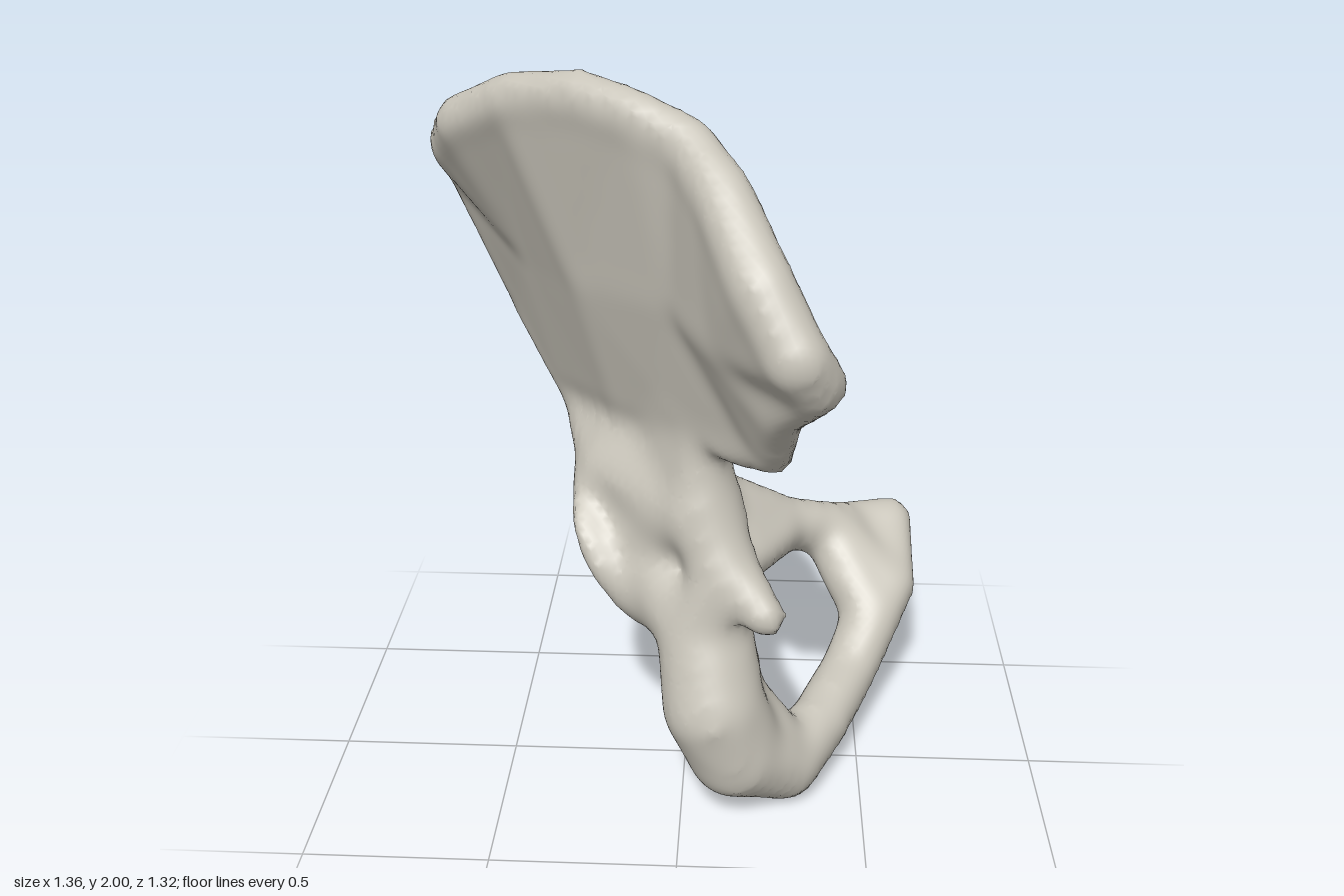
import * as THREE from 'three';

// Landmarks of the bone: [x, y, z, half thickness]
const CREST = {
  a0: [-0.53, 1.34, -0.59, 0.055], c0: [-0.525, 1.43, -0.59, 0.07], c1: [-0.61, 1.63, -0.42, 0.065],
  c2: [-0.63, 1.73, -0.28, 0.06], c3: [-0.575, 1.82, -0.15, 0.065], c4: [-0.42, 1.91, -0.02, 0.06],
  c5: [-0.24, 1.945, 0.11, 0.057], c6: [-0.10, 1.92, 0.20, 0.055], c7: [0.02, 1.87, 0.26, 0.06],
  c8: [0.10, 1.78, 0.365, 0.07], c9: [0.19, 1.62, 0.52, 0.077], c10: [0.27, 1.48, 0.59, 0.075],
  c11: [0.31, 1.41, 0.55, 0.072], c12: [0.24, 1.30, 0.46, 0.057], c13: [0.225, 1.135, 0.33, 0.052],
};
const BLADE = {
  a1: [-0.45, 1.20, -0.46, 0.055], a2: [-0.31, 0.98, -0.36, 0.058],
  m1: [-0.43, 1.45, -0.25, 0.035], m2: [-0.26, 1.45, -0.01, 0.037], m3: [0.02, 1.47, 0.18, 0.07],
  m4: [-0.01, 1.21, 0.05, 0.085], q: [0.14, 1.43, 0.36, 0.078], n: [0.06, 1.10, 0.14, 0.06],
  b0: [-0.10, 1.02, -0.12, 0.10], col: [0.05, 0.87, 0.13, 0.10],
  roof: [-0.20, 0.88, -0.10, 0.10], e: [-0.08, 0.85, -0.24, 0.09],
};
const LOWER = {
  body: [-0.07, 0.69, -0.07, 0.20], i0: [0.11, 0.73, 0.20, 0.095], spine: [0.22, 0.65, 0.295, 0.052],
  w: [0.13, 0.56, -0.10, 0.06], h: [0.13, 0.47, 0.04, 0.06], j: [0.165, 0.33, 0.145, 0.06],
  i1: [0.06, 0.55, 0.18, 0.13], i2: [0.09, 0.35, 0.26, 0.138], i3: [0.15, 0.20, 0.24, 0.135],
  r0: [0.28, 0.105, 0.17, 0.105], r1: [0.38, 0.135, 0.04, 0.083], r2: [0.48, 0.19, -0.17, 0.08],
  r3: [0.55, 0.30, -0.30, 0.085], p0: [0.60, 0.36, -0.38, 0.08], p1: [0.61, 0.47, -0.59, 0.07],
  p3: [0.51, 0.46, -0.575, 0.072], p4: [0.41, 0.50, -0.475, 0.08], s1: [0.28, 0.55, -0.405, 0.08],
  s2: [0.08, 0.67, -0.30, 0.095],
};
const N = { ...CREST, ...BLADE, ...LOWER };

// Thick plates spanning three landmarks, and tapered bars spanning two
const PLATES = 'a0 c0 a1,c0 c1 a1,a1 c1 m1,c1 c2 m1,c2 c3 m1,c3 c4 m1,c4 m2 m1,c4 c5 m2,c5 c6 m2,c6 m3 m2,'
  + 'c6 c7 m3,c7 c8 m3,c8 q m3,c8 c9 q,c9 c10 q,c10 c11 q,c11 c12 q,c12 c13 q,c13 m3 q,c13 m4 m3,c13 n m4,'
  + 'a1 m1 a2,m1 m2 b0,m1 b0 a2,m2 m3 m4,m2 m4 b0,n b0 m4,n col b0,a2 e b0,a2 roof b0,col roof b0,e roof b0';
const LOWER_PARTS = 'w h body,h i1 body,h i1 i2,h i2 j,j i2 i3,j i3 r0,w h col,w col e,w e s2,w s2 s1,'
  + 'r3 p0 p4,p4 p0 p3,p3 p0 p1,e col body,body col,body e,body s2,body i1,col i0,i0 spine,i0 i1,'
  + 'i1 i2,i2 i3,i3 r0,r0 r1,r1 r2,r2 r3,r3 p0,p4 s1,s1 s2,s2 e';

const FAR = 0.12;
const tmp = new THREE.Vector3(), bary = new THREE.Vector3();

function makePart(text) {
  const keys = text.split(' ');
  const pts = keys.map((k) => new THREE.Vector3(...N[k].slice(0, 3)));
  const r = keys.map((k) => N[k][3]);
  const center = pts.reduce((s, p) => s.add(p), new THREE.Vector3()).divideScalar(pts.length);
  const reach = Math.max(...pts.map((p) => p.distanceTo(center))) + Math.max(...r) + FAR;
  let distance;
  if (pts.length === 3) {
    const tri = new THREE.Triangle(...pts);
    distance = (p) => {
      tri.closestPointToPoint(p, tmp);
      tri.getBarycoord(tmp, bary);
      return tmp.distanceTo(p) - (bary.x * r[0] + bary.y * r[1] + bary.z * r[2]);
    };
  } else {
    const line = new THREE.Line3(...pts);
    distance = (p) => {
      const t = line.closestPointToPointParameter(p, true);
      return line.at(t, tmp).distanceTo(p) - (r[0] + (r[1] - r[0]) * t);
    };
  }
  return { center, reach2: reach * reach, distance };
}

// Plain union of a list of parts
function union(list) {
  const parts = list.split(',').map(makePart);
  return (p) => {
    let f = FAR;
    for (const part of parts) {
      if (part.center.distanceToSquared(p) < part.reach2) f = Math.min(f, part.distance(p));
    }
    return f;
  };
}

// Filleted union
function blend(a, b, k) {
  const h = Math.max(k - Math.abs(a - b), 0) / k;
  return Math.min(a, b) - h * h * k * 0.25;
}

// Hip socket: a raised rim around a hollow that faces outward and down
const RIM = new THREE.Vector3(-0.155, 0.655, -0.10);
const AXIS = new THREE.Vector3(-0.8, -0.55, -0.22).normalize();
const HOLLOW = RIM.clone().addScaledVector(AXIS, 0.04);

function makeField() {
  const blade = union(PLATES), lower = union(LOWER_PARTS);
  const d = new THREE.Vector3();
  return (p) => {
    d.subVectors(p, RIM);
    const h = d.dot(AXIS);
    const radial = Math.sqrt(Math.max(d.lengthSq() - h * h, 0));
    const rim = Math.hypot(radial - 0.21, h) - 0.035;
    const solid = blend(blend(blade(p), lower(p), 0.05), rim, 0.05);
    return -blend(-solid, p.distanceTo(HOLLOW) - 0.185, 0.03);
  };
}

// Skin the field with one vertex per crossed cell and one quad per crossed edge
function skin(field, min, size, step) {
  const n = size.map((s) => Math.ceil(s / step) + 1);
  const stride = [1, n[0], n[0] * n[1]];
  const values = new Float32Array(n[0] * n[1] * n[2]);
  const cells = new Int32Array(values.length).fill(-1);
  const positions = [], index = [], p = new THREE.Vector3();
  const each = (from, to, fn) => {
    for (let z = from; z < n[2] - to; z++)
      for (let y = from; y < n[1] - to; y++)
        for (let x = from; x < n[0] - to; x++) fn([x, y, z], x + y * stride[1] + z * stride[2]);
  };
  each(0, 0, (c, i) => {
    values[i] = field(p.set(min[0] + c[0] * step, min[1] + c[1] * step, min[2] + c[2] * step));
  });
  each(0, 1, (c, i) => {
    const sum = [0, 0, 0];
    let count = 0;
    for (let a = 0; a < 3; a++) {
      const b = (a + 1) % 3, e = (a + 2) % 3;
      for (let k = 0; k < 4; k++) {
        const u = k & 1, w = k >> 1;
        const j = i + u * stride[b] + w * stride[e];
        const v0 = values[j], v1 = values[j + stride[a]];
        if ((v0 < 0) === (v1 < 0)) continue;
        sum[a] += v0 / (v0 - v1);
        sum[b] += u;
        sum[e] += w;
        count++;
      }
    }
    if (!count) return;
    cells[i] = positions.length / 3;
    for (let a = 0; a < 3; a++) positions.push(min[a] + (c[a] + sum[a] / count) * step);
  });
  each(1, 1, (c, i) => {
    for (let a = 0; a < 3; a++) {
      const inside = values[i] < 0;
      if (inside === values[i + stride[a]] < 0) continue;
      const b = stride[(a + 1) % 3], e = stride[(a + 2) % 3];
      const quad = [cells[i - b - e], cells[i - e], cells[i], cells[i - b]];
      if (!inside) quad.reverse();
      index.push(quad[0], quad[1], quad[2], quad[0], quad[2], quad[3]);
    }
  });
  return { positions, index };
}

// Even out creases: alternate shrinking and swelling steps keep the volume
function relax({ positions, index }, rounds) {
  const links = Array.from({ length: positions.length / 3 }, () => new Set());
  for (let i = 0; i < index.length; i += 3) {
    for (let k = 0; k < 3; k++) {
      const a = index[i + k], b = index[i + (k + 1) % 3];
      links[a].add(b);
      links[b].add(a);
    }
  }
  for (let round = 0; round < rounds * 2; round++) {
    const amount = round % 2 ? -0.62 : 0.6;
    const old = positions.slice();
    links.forEach((near, v) => {
      for (let a = 0; a < 3; a++) {
        let sum = 0;
        for (const o of near) sum += old[o * 3 + a];
        positions[v * 3 + a] += amount * (sum / near.size - old[v * 3 + a]);
      }
    });
  }
}

export function createModel() {
  const bone = new THREE.MeshStandardMaterial({ color: 0xc9c5ba });
  bone.name = 'bone';

  const surface = skin(makeField(), [-0.8, -0.1, -0.8], [1.6, 2.2, 1.6], 0.021);
  relax(surface, 30);
  const geometry = new THREE.BufferGeometry();
  geometry.setAttribute('position', new THREE.Float32BufferAttribute(surface.positions, 3));
  geometry.setIndex(surface.index);
  geometry.computeVertexNormals();

  const mesh = new THREE.Mesh(geometry, bone);
  mesh.name = 'hipBone';
  const group = new THREE.Group();
  group.name = 'hipBoneModel';
  group.add(mesh);
  return group;
}
